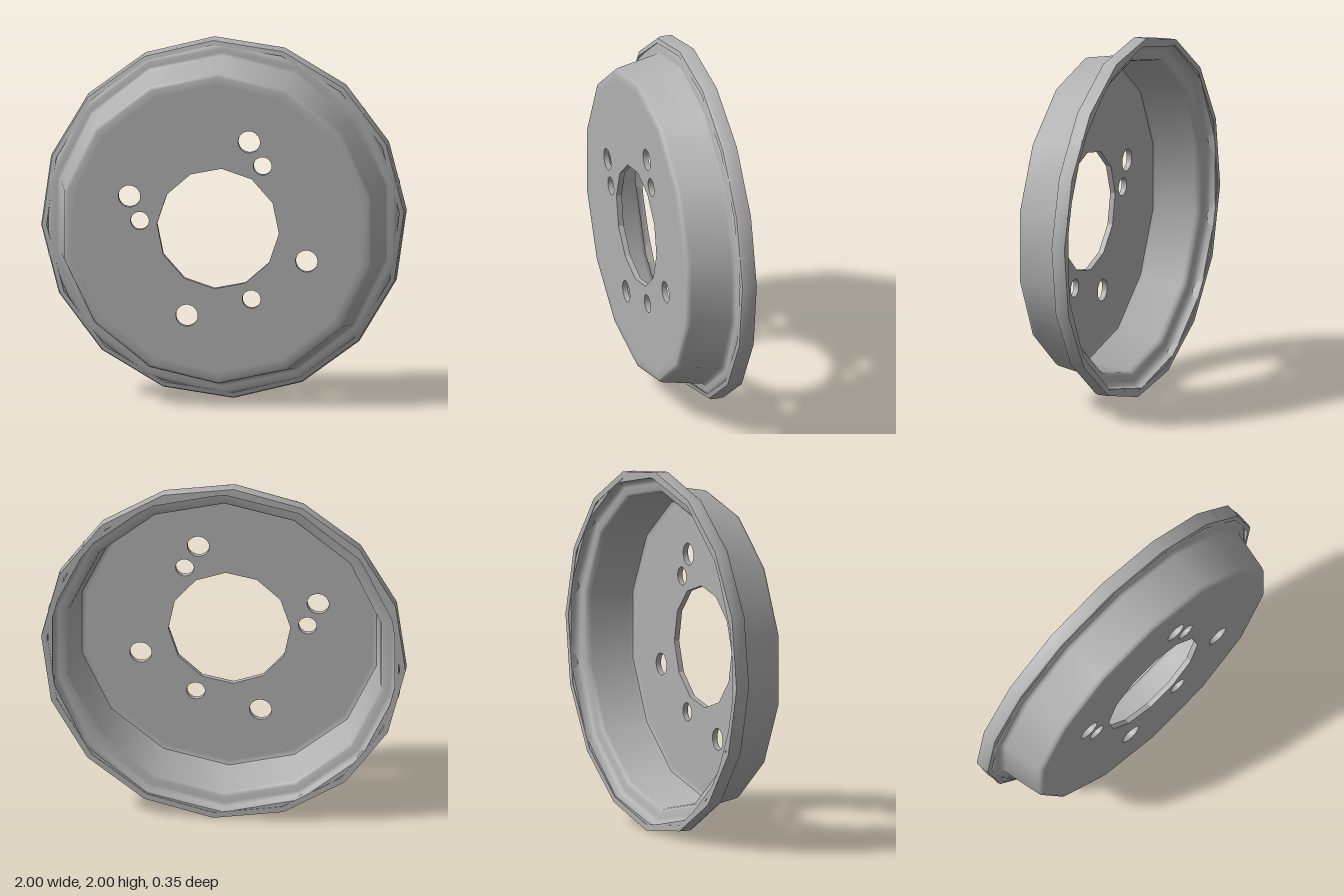
import * as THREE from 'three';
import { toCreasedNormals } from 'three/addons/utils/BufferGeometryUtils.js';

// Regular polygon points; start is the angle of the first corner
function polygon(radius, sides, start) {
  return Array.from({ length: sides }, (_, i) => {
    const a = start + (i / sides) * Math.PI * 2;
    return new THREE.Vector2(Math.cos(a) * radius, Math.sin(a) * radius);
  });
}

// Turned part about the z axis from [radius, z] pairs
function turned(profile, sides, twist = 0) {
  const points = profile.map(([r, z]) => new THREE.Vector2(r, z));
  const geo = new THREE.LatheGeometry(points, sides);
  geo.rotateX(Math.PI / 2);
  geo.rotateZ(twist);
  return toCreasedNormals(geo, 0.82);
}

export function createModel() {
  const model = new THREE.Group();
  model.name = 'drum';
  const steel = new THREE.MeshStandardMaterial({ color: 0xb0b0b0 });
  steel.name = 'grey steel';

  const add = (name, geometry) => {
    const mesh = new THREE.Mesh(geometry, steel);
    mesh.name = name;
    mesh.position.y = 1;
    model.add(mesh);
  };

  // Front plate with centre bore, bolt holes and pin holes
  const plate = new THREE.Shape(polygon(0.8, 14, Math.PI / 2));
  plate.holes.push(new THREE.Path(polygon(0.335, 12, -0.06)));
  const drill = (x, y, r) => plate.holes.push(new THREE.Path().absarc(x, y, r, 0, Math.PI * 2, true));
  for (let i = 0; i < 4; i++) {
    const a = 1.233 + (i * Math.PI) / 2;
    drill(Math.cos(a) * 0.515, Math.sin(a) * 0.515, 0.06);
  }
  for (let i = 0; i < 3; i++) {
    const a = 0.965 + (i * Math.PI * 2) / 3;
    drill(Math.cos(a) * 0.43, Math.sin(a) * 0.43, 0.05);
  }
  const plateGeo = new THREE.ExtrudeGeometry(plate, { depth: 0.03, bevelEnabled: false, curveSegments: 24 });
  plateGeo.translate(0, 0, 0.145);
  add('frontPlate', plateGeo);

  // Hollow side wall and stepped flange: inside front to back, then outside back to front
  add('wallAndFlange', turned([
    [0.8, 0.145], [0.815, 0.145], [0.828, 0.14], [0.834, 0.125],
    [0.874, -0.09], [0.88, -0.11], [0.895, -0.12], [0.93, -0.12],
    [0.95, -0.128], [0.96, -0.145], [0.962, -0.172], [0.985, -0.172],
    [0.985, -0.115], [0.975, -0.095], [0.955, -0.085], [0.93, -0.085],
    [0.915, -0.08], [0.907, -0.065], [0.867, 0.15], [0.86, 0.168],
    [0.845, 0.175], [0.8, 0.175],
  ], 14));

  // Outer rim band, slightly turned against the wall
  add('rim', turned([
    [0.968, -0.175], [1, -0.175], [1, -0.11], [0.993, -0.095],
    [0.968, -0.088], [0.968, -0.175],
  ], 16, 0.056));

  return model;
}
